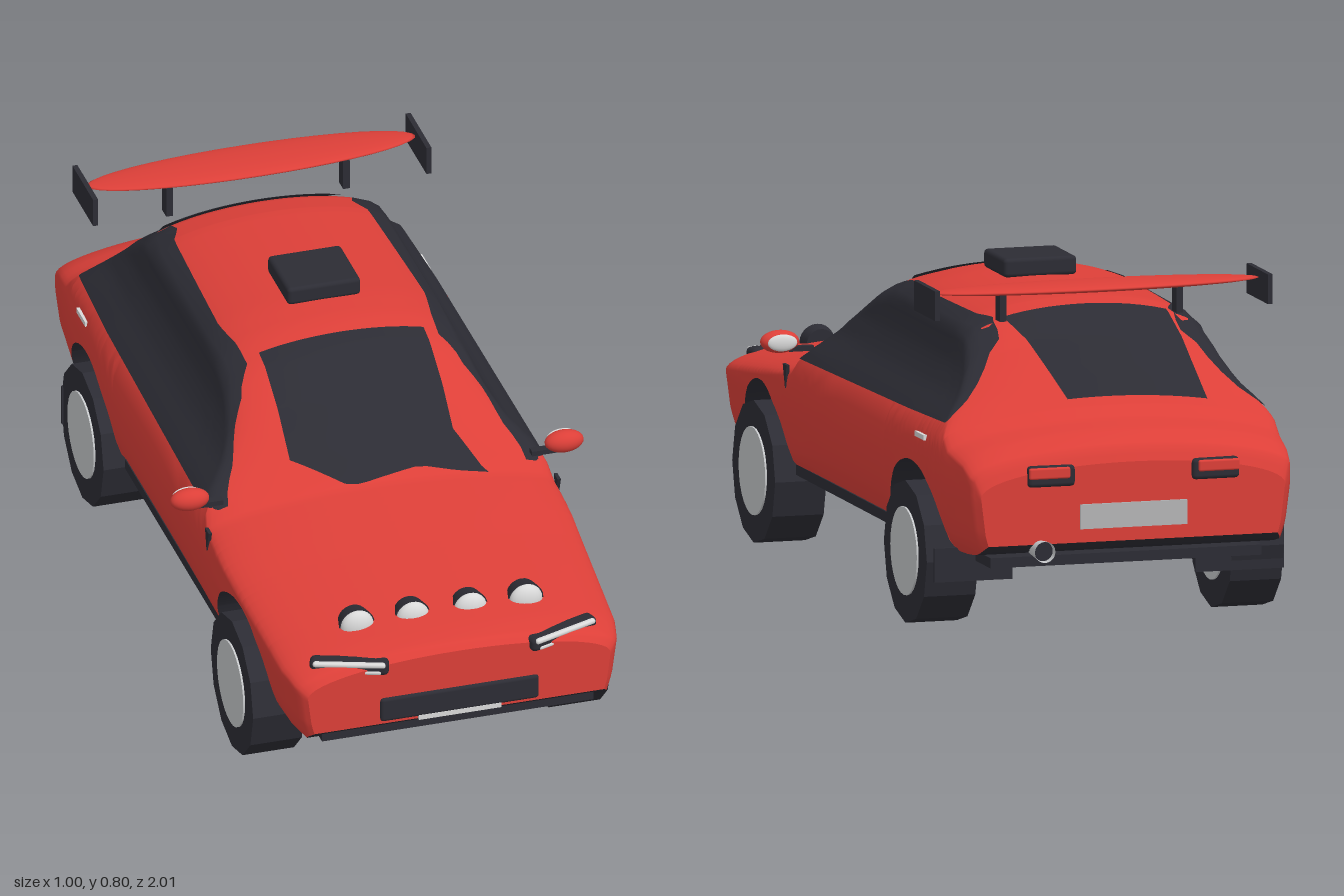
import * as THREE from 'three';
import { RoundedBoxGeometry } from 'three/addons/geometries/RoundedBoxGeometry.js';

const mat = (name, color, side = THREE.FrontSide) => {
  const m = new THREE.MeshStandardMaterial({ color, side });
  m.name = name;
  return m;
};

// piecewise linear lookup through [key, value] pairs in rising key order
const lookup = (pts) => (k) => {
  if (k <= pts[0][0]) return pts[0][1];
  for (let i = 1; i < pts.length; i++) {
    const [k0, v0] = pts[i - 1], [k1, v1] = pts[i];
    if (k <= k1) return v0 + (v1 - v0) * (k - k0) / (k1 - k0);
  }
  return pts[pts.length - 1][1];
};

// body shape: roof line, plan half-width, underside end lift, section fullness by height
const topLine = lookup([[-0.965, 0.42], [-0.95, 0.455], [-0.9, 0.482], [-0.8, 0.505], [-0.72, 0.595], [-0.65, 0.672],
  [-0.58, 0.725], [-0.5, 0.739], [-0.1, 0.746], [0, 0.739], [0.1, 0.715], [0.2, 0.655], [0.3, 0.562], [0.36, 0.503],
  [0.6, 0.468], [0.93, 0.425], [0.975, 0.415], [0.99, 0.4]]);
const planWidth = lookup([[-0.965, 0.37], [-0.94, 0.39], [-0.75, 0.417], [-0.5, 0.425], [0.5, 0.425], [0.9, 0.405], [0.97, 0.39], [0.99, 0.37]]);
const endFloor = lookup([[-0.965, 0.235], [-0.93, 0.21], [-0.85, 0.2], [0.88, 0.2], [0.96, 0.21], [0.99, 0.235]]);
const fullness = lookup([[0.19, 0.88], [0.22, 0.94], [0.26, 0.97], [0.35, 1], [0.42, 1], [0.47, 0.975], [0.5, 0.92],
  [0.55, 0.8], [0.6, 0.725], [0.65, 0.68], [0.7, 0.645], [0.75, 0.6]]);
const AXLES = [0.605, -0.58], ARCH_R = 0.205, ARCH_Y = 0.18, CROWN = 0.07;

const floorLine = (z) => {
  let y = endFloor(z);
  for (const a of AXLES) {
    const d = Math.abs(z - a);
    if (d < ARCH_R) y = Math.max(y, ARCH_Y + Math.sqrt(ARCH_R ** 2 - d * d));
  }
  return y;
};
const halfWidth = (y, z) => {
  const s = Math.max(0, (y - topLine(z) + CROWN) / CROWN);
  return fullness(y) * planWidth(z) * Math.sqrt(Math.max(0, 1 - s * s));
};
const surfaceY = (x, z) => {
  let lo = topLine(z) - CROWN, hi = topLine(z);
  for (let i = 0; i < 24; i++) {
    const m = (lo + hi) / 2;
    if (halfWidth(m, z) > Math.abs(x)) lo = m; else hi = m;
  }
  return lo;
};

// smooth surface through rows of points; faces along row direction x point direction
function grid(rows) {
  const n = rows[0].length, idx = [];
  for (let i = 0; i < rows.length - 1; i++) {
    for (let j = 0; j < n - 1; j++) {
      const a = i * n + j, c = a + n;
      idx.push(a, c, a + 1, a + 1, c, c + 1);
    }
  }
  const g = new THREE.BufferGeometry();
  g.setAttribute('position', new THREE.Float32BufferAttribute(rows.flat(2), 3));
  g.setIndex(idx);
  g.computeVertexNormals();
  return g;
}
const patch = (nu, nv, f) => grid(Array.from({ length: nu + 1 }, (_, i) =>
  Array.from({ length: nv + 1 }, (_, j) => f(i / nu, j / nv))));

export function createModel() {
  const car = new THREE.Group();
  car.name = 'rallyCar';
  const paint = mat('red paint', 0xdc3f38, THREE.DoubleSide);
  const dark = mat('dark trim', 0x2c2c34, THREE.DoubleSide);
  const lamp = mat('lamp glass', 0xd9d9d9, THREE.DoubleSide);
  const metal = mat('wheel metal', 0xc6c8ca, THREE.DoubleSide);
  const plateGrey = mat('plate grey', 0xb4b4b6);
  const add = (name, geo, m, x = 0, y = 0, z = 0, parent = car) => {
    const mesh = new THREE.Mesh(geo, m);
    mesh.name = name;
    mesh.position.set(x, y, z);
    parent.add(mesh);
    return mesh;
  };
  const box = (name, m, w, h, d, x, y, z) => add(name, new THREE.BoxGeometry(w, h, d), m, x, y, z);

  // stations along the car, with extra ones following the wheel arches
  const stations = [0.99, 0.982, 0.975, 0.96, -0.94, -0.95, -0.958, -0.965];
  for (let z = 0.93; z > -0.93; z -= 0.03) stations.push(z);
  const a0 = Math.asin(0.02 / ARCH_R);
  for (const a of AXLES) {
    for (let k = 0; k <= 24; k++) stations.push(a + ARCH_R * Math.cos(a0 + (Math.PI - 2 * a0) * k / 24));
  }
  stations.sort((p, q) => q - p);
  const halfRing = (z) => {
    const b = floorLine(z), s = topLine(z) - CROWN, pts = [];
    for (let i = 0; i < 10; i++) {
      const y = b + (s - b) * i / 10;
      pts.push([halfWidth(y, z), y, z]);
    }
    for (let i = 0; i <= 14; i++) {
      const y = s + CROWN * Math.sin(i / 14 * Math.PI / 2);
      pts.push([i === 14 ? 0 : halfWidth(y, z), y, z]);
    }
    return pts;
  };
  const flip = (pts) => pts.map(([x, y, z]) => [-x, y, z]);
  add('bodyShell', grid(stations.map((z) => {
    const h = halfRing(z);
    return [...h, ...flip(h).reverse().slice(1)];
  })), paint);
  add('underside', grid(stations.map((z) => {
    const y = floorLine(z), x = halfWidth(y, z);
    return [[-x, y, z], [0, y, z], [x, y, z]];
  })), dark);
  const nose = halfRing(0.99), tail = halfRing(-0.965);
  add('noseFace', grid([flip(nose), nose]), paint);
  add('tailFace', grid([tail, flip(tail)]), paint);

  // windscreen and rear window follow the body surface
  const screenFoot = lookup([[-0.21, 0.29], [-0.07, 0.365], [0.1, 0.345], [0.26, 0.372]]);
  add('windscreen', patch(20, 16, (u, v) => {
    const k = 1 - u, x = (0.2 + (k > 0.75 ? (k - 0.75) * 0.24 : 0)) * (1 - v) - 0.2 * v;
    const z = 0.05 + (screenFoot(x) - 0.05) * k;
    return [x, surfaceY(x, z) + 0.005, z + 0.004];
  }), dark);
  add('rearWindow', patch(16, 14, (u, v) => {
    const z = -0.575 - 0.195 * u, r = 0.2 - 0.1 * u, l = -0.2 - 0.04 * u, x = r + (l - r) * v;
    return [x, surfaceY(x, z) + 0.005, z - 0.004];
  }), dark);

  const windowTop = lookup([[-0.75, 0.5], [-0.72, 0.55], [-0.61, 0.69], [-0.55, 0.706], [0, 0.706], [0.08, 0.69],
    [0.14, 0.65], [0.25, 0.56], [0.34, 0.485]]);
  for (const s of [1, -1]) {
    // side glass, indicator and wedge vent
    add('sideWindow', patch(44, 12, (u, v) => {
      const z = 0.34 - 1.09 * u, b = 0.478 + 0.018 * u;
      const top = Math.min(windowTop(z), topLine(z) - 0.025);
      const y = b + Math.max(0, top - b) * (s > 0 ? v : 1 - v);
      return [s * (halfWidth(y, z) + 0.005), y, z];
    }), dark);
    box('sideIndicator', lamp, 0.012, 0.012, 0.07, s * 0.414, 0.45, -0.64);
    const vent = new THREE.Shape([[0.4, 0.455], [0.37, 0.455], [0.382, 0.4]].map(([a, b]) => new THREE.Vector2(-a, b)));
    add('wedgeVent', new THREE.ExtrudeGeometry(vent, { depth: 0.008, bevelEnabled: false }).rotateY(Math.PI / 2), dark, s > 0 ? 0.42 : -0.428);

    // door mirrors
    add('mirrorShell', new THREE.SphereGeometry(1, 24, 16).scale(0.047, 0.027, 0.027), paint, s * 0.455, 0.518, 0.337);
    add('mirrorGlass', new THREE.SphereGeometry(1, 20, 10).scale(0.036, 0.02, 0.008), lamp, s * 0.455, 0.518, 0.314);
    box('mirrorStalk', dark, 0.06, 0.012, 0.02, s * 0.405, 0.5, 0.335);

    // headlights, swept back at the corners
    const head = new THREE.Group();
    head.name = 'headlight';
    head.position.set(s * 0.257, 0.387, 0.957);
    head.rotation.y = s * 0.34;
    add('headlightHousing', new RoundedBoxGeometry(0.185, 0.036, 0.04, 2, 0.012), dark, 0, 0, 0, head);
    add('headlightLens', new RoundedBoxGeometry(0.17, 0.013, 0.02, 2, 0.006), lamp, 0, 0.01, 0.014, head);
    add('headlightLowerLens', new RoundedBoxGeometry(0.07, 0.01, 0.016, 2, 0.004), lamp, -s * 0.04, -0.009, 0.014, head);
    car.add(head);

    // tail lights
    add('tailLightSurround', new RoundedBoxGeometry(0.115, 0.05, 0.03, 2, 0.01), dark, s * 0.2, 0.395, -0.96);
    add('tailLightLens', new RoundedBoxGeometry(0.1, 0.027, 0.012, 2, 0.005), paint, s * 0.206, 0.403, -0.973);

    // wing end plates and posts
    box('wingEndPlate', dark, 0.012, 0.07, 0.165, s * 0.405, 0.769, -0.653);
    box('wingPost', dark, 0.016, 0.075, 0.035, s * 0.215, 0.745, -0.622);

    // roof-lamp style spots on the bonnet
    for (const x of [0.07, 0.205]) {
      add('spotHousing', new THREE.CylinderGeometry(0.043, 0.036, 0.035, 24).rotateX(Math.PI / 2), dark, s * x, 0.423, 0.83);
      add('spotLens', new THREE.SphereGeometry(1, 24, 14).scale(0.04, 0.04, 0.022), lamp, s * x, 0.423, 0.848);
    }

    // wheels
    for (const z of AXLES) {
      const tyre = new THREE.CylinderGeometry(0.168, 0.168, 0.125, 12).rotateZ(Math.PI / 2).toNonIndexed();
      tyre.computeVertexNormals();
      add('tyre', tyre, dark, s * 0.372, 0.168, z);
      add('wheelHub', new THREE.CylinderGeometry(0.104, 0.104, 0.134, 28).rotateZ(Math.PI / 2), metal, s * 0.372, 0.17, z);
    }
  }

  // roof scoop and rear wing
  add('roofScoop', new RoundedBoxGeometry(0.178, 0.045, 0.165, 2, 0.01), dark, 0, 0.763, -0.16);
  add('rearWing', new THREE.SphereGeometry(1, 40, 16).scale(0.4, 0.012, 0.072), paint, 0, 0.787, -0.662);

  // bumper details
  add('frontGrille', new RoundedBoxGeometry(0.385, 0.062, 0.03, 2, 0.008), dark, 0, 0.273, 0.982);
  box('frontPlate', lamp, 0.2, 0.012, 0.008, 0, 0.24, 0.993);
  box('frontLip', dark, 0.66, 0.028, 0.04, 0, 0.219, 0.958);
  box('frontSplitter', dark, 0.68, 0.012, 0.1, 0, 0.186, 0.85);
  box('splitterMount', dark, 0.4, 0.03, 0.05, 0, 0.2, 0.85);
  box('rearPlate', plateGrey, 0.26, 0.058, 0.008, 0, 0.296, -0.967);

  // underbody parts
  box('sillPan', dark, 0.79, 0.025, 0.77, 0, 0.203, 0.015);
  box('rearDiffuser', dark, 0.66, 0.024, 0.12, 0, 0.187, -0.85);
  box('leftMudFlap', dark, 0.19, 0.08, 0.008, 0.335, 0.168, -0.79);
  box('rightMudFlap', dark, 0.215, 0.1, 0.008, -0.33, 0.162, -0.735);
  add('exhaustTip', new THREE.CylinderGeometry(0.025, 0.018, 0.1, 20, 1, true).rotateX(-Math.PI / 2), metal, 0.225, 0.222, -0.95);
  add('exhaustBore', new THREE.CircleGeometry(0.023, 20).rotateY(Math.PI), dark, 0.225, 0.222, -0.985);
  return car;
}
